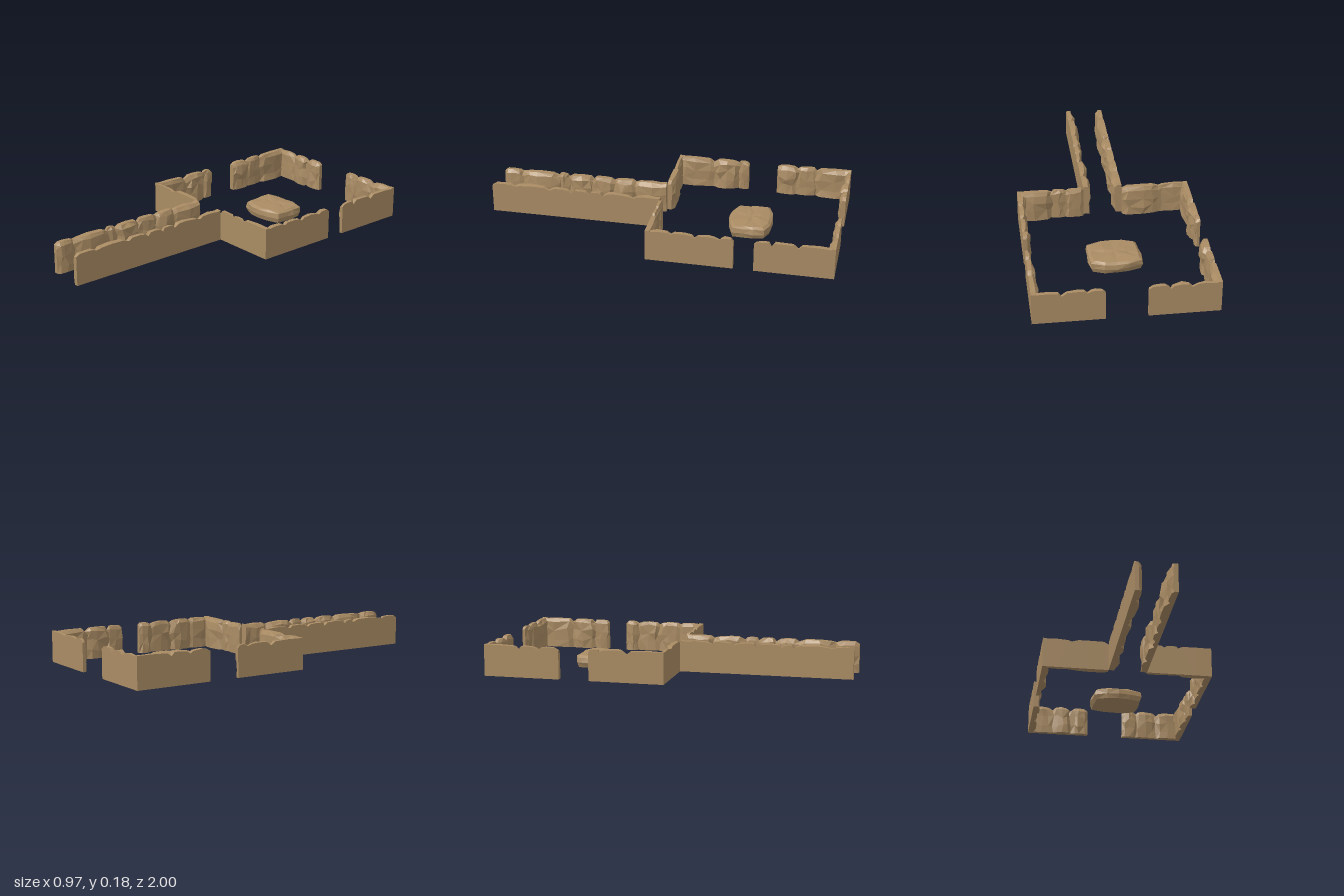
import * as THREE from 'three';

const HEIGHT = 0.176;

function makeRandom(seed) {
  let s = seed * 7919 + 17;
  return (lo, hi) => {
    s = (s * 16807) % 2147483647;
    return lo + (hi - lo) * (s / 2147483647);
  };
}

// Skins equal-length closed rings with flat triangles and fans a cap on both ends.
function skin(rings, flip) {
  const pos = [];
  const tri = (a, b, c) => pos.push(...a, ...(flip ? c : b), ...(flip ? b : c));
  const n = rings[0].length;
  for (let i = 0; i + 1 < rings.length; i++) {
    for (let j = 0; j < n; j++) {
      const k = (j + 1) % n;
      const a = rings[i][j], b = rings[i][k], c = rings[i + 1][k], d = rings[i + 1][j];
      if ((i + j) % 2) { tri(a, b, c); tri(a, c, d); }
      else { tri(a, b, d); tri(b, c, d); }
    }
  }
  const cap = (ring, back) => {
    const mid = [0, 1, 2].map((q) => ring.reduce((t, p) => t + p[q], 0) / n);
    ring.forEach((p, j) => {
      const q = ring[(j + 1) % n];
      if (back) tri(mid, q, p); else tri(mid, p, q);
    });
  };
  cap(rings[0], true);
  cap(rings[rings.length - 1], false);
  const geo = new THREE.BufferGeometry();
  geo.setAttribute('position', new THREE.Float32BufferAttribute(pos, 3));
  geo.computeVertexNormals();
  return geo;
}

// Wall with a flat outer face and rough stones inside.
// axis: direction it runs in; from: start; line: outer face; inward: side of the stones;
// stones: [end position, depth] for each stone, starting at the full-height end.
function wallGeometry({ axis, from, line, inward, stones }, seed) {
  const rnd = makeRandom(seed);
  const dir = Math.sign(stones[0][0] - from);
  const stations = [];
  let start = from;
  stones.forEach(([end, depth], i) => {
    const len = end - start;
    const first = i === 0;
    stations.push([start, first ? depth * 0.8 : depth * 0.6, first ? HEIGHT : rnd(0.153, 0.165)]);
    stations.push([start + len * rnd(0.12, 0.2), depth * rnd(0.8, 0.95), HEIGHT - rnd(0, 0.006)]);
    stations.push([start + len * rnd(0.42, 0.58), depth, HEIGHT]);
    stations.push([start + len * rnd(0.8, 0.88), depth * rnd(0.8, 0.95), HEIGHT - rnd(0, 0.006)]);
    start = end;
  });
  stations.push([start, stones[stones.length - 1][1] * 0.6, 0.16]);

  const rings = stations.map(([t, d, h], i) => {
    const edge = i === 0 || i === stations.length - 1;
    const shift = () => (edge ? 0 : rnd(-0.012, 0.012));
    const point = (off, y, slide = 0) => {
      const along = t + slide, across = line + inward * off;
      return axis === 'x' ? [along, y, across] : [across, y, along];
    };
    return [
      point(0, 0),
      point(d * rnd(0.8, 1), 0, shift() * 0.5),
      point(d * rnd(0.75, 1.1), rnd(0.04, 0.065), shift()),
      point(d * rnd(0.85, 1.12), rnd(0.09, 0.12), shift()),
      point(d * rnd(0.8, 1.05), h - rnd(0.014, 0.026), shift()),
      point(d * rnd(0.5, 0.75), h, shift() * 0.5),
      point(0, h),
    ];
  });
  return skin(rings, (axis === 'x' ? 1 : -1) * dir * inward > 0);
}

// Low boulder slab: jittered rounded-square rings stacked upward.
function slabGeometry() {
  const rnd = makeRandom(41);
  const sides = 14;
  const wobble = Array.from({ length: sides }, () => rnd(0.95, 1.03));
  const levels = [[0, 0.93], [0.028, 1], [0.055, 0.98], [0.066, 0.86], [0.07, 0.4]];
  const rings = levels.map(([y, scale], level) =>
    Array.from({ length: sides }, (_, j) => {
      const a = (j / sides) * Math.PI * 2 + 0.2;
      const c = Math.cos(a), s = Math.sin(a);
      const r = scale * wobble[j] * rnd(0.97, 1.02) / Math.pow(c ** 6 + s ** 6, 1 / 6);
      return [c * r * 0.147, level ? y + rnd(-0.004, 0.003) : 0, -0.485 + s * r * 0.122];
    }));
  return skin(rings, true);
}

export function createModel() {
  const group = new THREE.Group();
  const material = new THREE.MeshStandardMaterial({ color: 0xaa8c64, flatShading: true });
  const add = (name, geo) => {
    const mesh = new THREE.Mesh(geo, material);
    mesh.name = name;
    group.add(mesh);
  };

  const X = 0.485, FRONT = 0.02, BACK = -1, HALL = 0.11;
  const walls = {
    // Chamber, each wall running from its corner to a doorway
    backWallRight: { axis: 'x', from: -X, line: BACK, inward: 1,
      stones: [[-0.33, 0.03], [-0.22, 0.045], [-HALL, 0.042]] },
    backWallLeft: { axis: 'x', from: X, line: BACK, inward: 1,
      stones: [[0.33, 0.04], [0.2, 0.035], [HALL, 0.033]] },
    rightWallBack: { axis: 'z', from: BACK, line: -X, inward: 1,
      stones: [[-0.8, 0.045], [-0.69, 0.04], [-0.57, 0.048]] },
    leftWallBack: { axis: 'z', from: BACK, line: X, inward: -1,
      stones: [[-0.8, 0.046], [-0.66, 0.043], [-0.57, 0.03]] },
    rightWallFront: { axis: 'z', from: FRONT, line: -X, inward: 1,
      stones: [[-0.19, 0.044], [-0.34, 0.048], [-0.4, 0.03]] },
    leftWallFront: { axis: 'z', from: FRONT, line: X, inward: -1,
      stones: [[-0.12, 0.044], [-0.25, 0.045], [-0.38, 0.036], [-0.46, 0.042]] },
    frontWallRight: { axis: 'x', from: -X, line: FRONT, inward: -1,
      stones: [[-0.32, 0.028], [-HALL, 0.046]] },
    frontWallLeft: { axis: 'x', from: X, line: FRONT, inward: -1,
      stones: [[0.29, 0.045], [0.21, 0.026], [HALL, 0.03]] },
    // Passage leading to the chamber
    passageWallRight: { axis: 'z', from: FRONT, line: -HALL, inward: 1,
      stones: [[0.2, 0.05], [0.33, 0.05], [0.45, 0.043], [0.6, 0.05], [0.66, 0.033],
        [0.88, 0.051], [0.99, 0.042]] },
    passageWallLeft: { axis: 'z', from: FRONT, line: HALL, inward: -1,
      stones: [[0.17, 0.05], [0.35, 0.046], [0.43, 0.03], [0.53, 0.045], [0.66, 0.048],
        [0.87, 0.053], [1, 0.045]] },
  };
  Object.entries(walls).forEach(([name, spec], i) => add(name, wallGeometry(spec, i + 3)));

  add('centreSlab', slabGeometry());
  return group;
}
